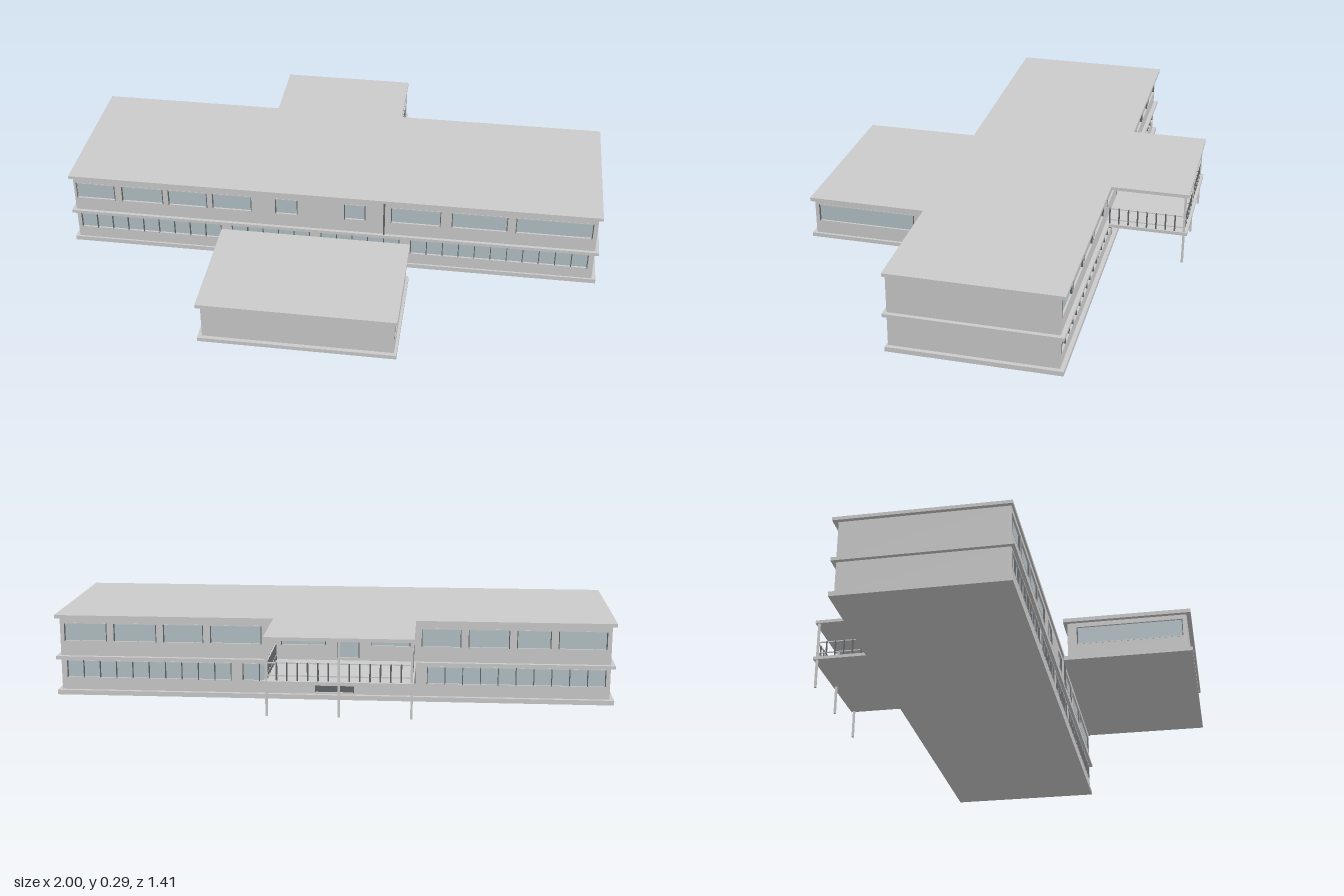
import * as THREE from 'three';

const grey = new THREE.MeshStandardMaterial({ color: 0xcccccc });
const glassMat = new THREE.MeshStandardMaterial({ color: 0xb4c2c8 });
const darkMat = new THREE.MeshStandardMaterial({ color: 0x62666a });

// Box given by its extents on each axis
function box(parent, name, [x0, x1], [y0, y1], [z0, z1], mat = grey) {
  const mesh = new THREE.Mesh(new THREE.BoxGeometry(x1 - x0, y1 - y0, z1 - z0), mat);
  mesh.position.set((x0 + x1) / 2, (y0 + y1) / 2, (z0 + z1) / 2);
  mesh.name = name;
  parent.add(mesh);
  return mesh;
}

// Wall facing local +z with its outer face at z = 0; each window is
// { x: [from, to], y: [from, to], panes, door }
function facade(parent, name, [x0, x1], [y0, y1], windows = []) {
  const group = new THREE.Group();
  group.name = name;
  const rect = (Type, a, b, c, d) => {
    const r = new Type();
    r.moveTo(a, c).lineTo(b, c).lineTo(b, d).lineTo(a, d).closePath();
    return r;
  };
  const shape = rect(THREE.Shape, x0, x1, y0, y1);
  for (const w of windows) shape.holes.push(rect(THREE.Path, ...w.x, ...w.y));
  const geo = new THREE.ExtrudeGeometry(shape, { depth: 0.012, bevelEnabled: false });
  geo.translate(0, 0, -0.012);
  const wall = new THREE.Mesh(geo, grey);
  wall.name = 'wall';
  group.add(wall);

  const t = 0.003;
  for (const { x: [a, b], y: [c, d], panes = 1, door } of windows) {
    box(group, door ? 'door' : 'glass', [a, b], [c, d], [-0.009, -0.006], door ? darkMat : glassMat);
    // Frame and mullions
    const depth = [-0.008, 0.001];
    box(group, 'frameSill', [a, b], [c, c + t], depth);
    box(group, 'frameHead', [a, b], [d - t, d], depth);
    for (let i = 0; i <= panes; i++) {
      const x = a + t / 2 + ((b - a - t) * i) / panes;
      box(group, 'mullion', [x - t / 2, x + t / 2], [c, d], depth, darkMat);
    }
  }
  parent.add(group);
  return group;
}

// Place a facade on one side of a block
function place(group, side, offset) {
  group.rotation.y = { front: 0, right: Math.PI / 2, back: Math.PI, left: -Math.PI / 2 }[side];
  if (side === 'front' || side === 'back') group.position.z = offset;
  else group.position.x = offset;
}

const spans = (list, y) => list.map((x) => ({ x, y }));

function mainBuilding() {
  const g = new THREE.Group();
  g.name = 'mainBuilding';
  const lower = [0.017, 0.131], upper = [0.143, 0.283];
  const wx = [-0.985, 0.98], strip = [0.06, 0.126], high = [0.195, 0.264];

  // Floor, middle and roof slabs
  box(g, 'groundSlab', [-1, 0.995], [0, 0.017], [-0.42, 0.18]);
  box(g, 'middleSlab', [-1, 0.995], [0.131, 0.143], [-0.42, 0.185]);
  box(g, 'roofSlab', [-1, 0.995], [0.283, 0.295], [-0.423, 0.18]);

  // Front
  place(facade(g, 'lowerFront', wx, lower, [
    { x: [-0.97, -0.42], y: strip, panes: 9 },
    { x: [-0.38, -0.08], y: strip, panes: 5 },
    { x: [-0.04, 0.26], y: strip, panes: 5 },
    { x: [0.3, 0.96], y: strip, panes: 11 },
  ]), 'front', 0.173);
  place(facade(g, 'upperFront', wx, upper, spans([
    [-0.976, -0.826], [-0.8, -0.64], [-0.62, -0.47], [-0.45, -0.3], [-0.21, -0.125],
    [0.05, 0.13], [0.225, 0.41], [0.45, 0.655], [0.685, 0.965],
  ], high)), 'front', 0.173);
  box(g, 'dividingPier', [0.197, 0.203], upper, [0.165, 0.18], darkMat);

  // Back, with local x running opposite to the model's x
  const mirror = (list) => list.map(([a, b]) => [-b, -a]);
  place(facade(g, 'lowerBack', [-0.98, 0.985], lower, [
    { x: [-0.96, -0.36], y: strip, panes: 10 },
    { x: [-0.32, -0.08], y: strip, panes: 4 },
    { x: [-0.06, 0.08], y: [0.02, 0.126], door: true },
    { x: [0.1, 0.3], y: strip, panes: 4 },
    { x: [0.34, 0.97], y: strip, panes: 10 },
  ]), 'back', -0.405);
  place(facade(g, 'upperBack', [-0.98, 0.985], upper, [
    ...spans(mirror([
      [0.81, 0.965], [0.63, 0.785], [0.46, 0.605], [0.25, 0.435],
      [-0.46, -0.32], [-0.63, -0.485], [-0.775, -0.655], [-0.97, -0.8],
    ]), high),
    { x: [-0.18, -0.02], y: high },
    { x: [0.02, 0.1], y: [0.15, 0.264] },
    { x: [0.14, 0.28], y: high },
  ]), 'back', -0.405);

  // Blank end walls
  for (const [side, x, s] of [['right', 0.98, 1], ['left', -0.985, -1]]) {
    const span = s > 0 ? [-0.173, 0.405] : [-0.405, 0.173];
    place(facade(g, side + 'LowerEnd', span, lower), side, x);
    place(facade(g, side + 'UpperEnd', span, upper), side, x);
  }
  return g;
}

function annex() {
  const g = new THREE.Group();
  g.name = 'annex';
  const y = [0.015, 0.149], pane = [0.065, 0.135];
  box(g, 'annexFloor', [-0.4, 0.305], [0, 0.015], [0.253, 0.705]);
  box(g, 'annexRoof', [-0.4, 0.305], [0.149, 0.163], [0.253, 0.705]);
  place(facade(g, 'annexFront', [-0.385, 0.295], y), 'front', 0.69);
  place(facade(g, 'annexBack', [-0.295, 0.385], y, [
    { x: [-0.27, 0.2], y: pane, panes: 6 },
    { x: [0.26, 0.34], y: [0.02, 0.135], door: true },
  ]), 'back', 0.267);
  place(facade(g, 'annexRight', [-0.69, -0.267], y, [{ x: [-0.675, -0.3], y: pane }]), 'right', 0.295);
  place(facade(g, 'annexLeft', [0.267, 0.69], y, [{ x: [0.3, 0.675], y: pane }]), 'left', -0.385);
  return g;
}

function balcony() {
  const g = new THREE.Group();
  g.name = 'balcony';
  const x0 = -0.292, x1 = 0.197, z0 = -0.692, z1 = -0.42;
  box(g, 'balconyDeck', [-0.3, 0.205], [0.131, 0.143], [-0.705, z1]);
  box(g, 'balconyRoof', [-0.3, 0.205], [0.283, 0.295], [-0.705, -0.423]);

  // Columns along the outer edge
  for (const x of [x0, (x0 + x1) / 2, x1])
    box(g, 'column', [x - 0.004, x + 0.004], [0.018, 0.283], [z0 - 0.004, z0 + 0.004]);

  // Railing: two rails and a row of posts on each open side
  const r = 0.0025;
  const post = (x, z) => box(g, 'railingPost', [x - r, x + r], [0.143, 0.206], [z - r, z + r], darkMat);
  for (const y of [0.16, 0.204]) {
    box(g, 'outerRail', [x0, x1], [y - 0.002, y + 0.002], [z0 - 0.002, z0 + 0.002]);
    for (const x of [x0, x1])
      box(g, 'sideRail', [x - 0.002, x + 0.002], [y - 0.002, y + 0.002], [z0, z1 + 0.015]);
  }
  for (let i = 1; i < 14; i++) post(x0 + ((x1 - x0) * i) / 14, z0);
  for (let i = 1; i <= 8; i++) for (const x of [x0, x1]) post(x, z0 + ((z1 - z0) * i) / 8);
  return g;
}

export function createModel() {
  const model = new THREE.Group();
  model.name = 'house';
  model.add(mainBuilding(), annex(), balcony());
  return model;
}
